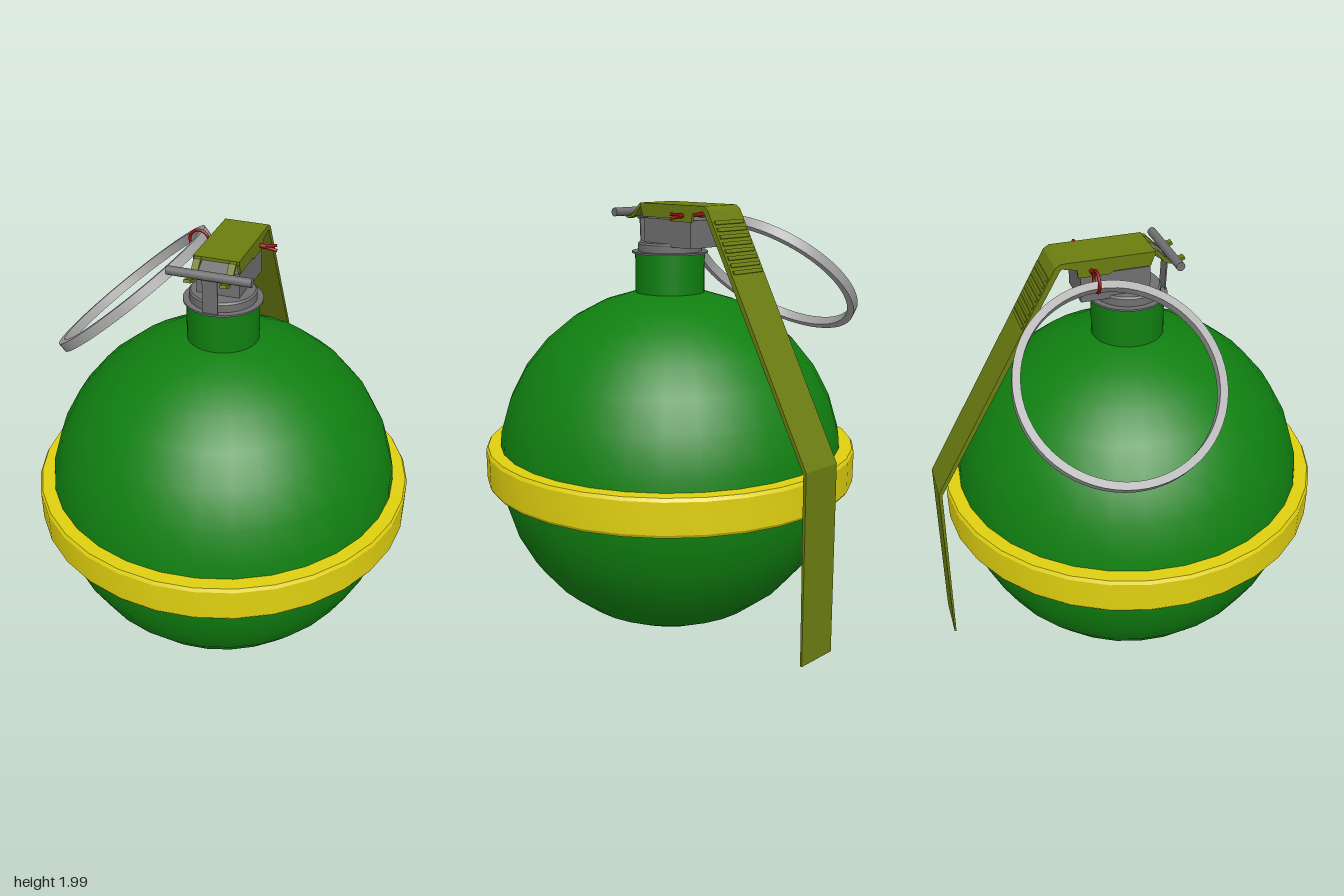
import * as THREE from 'three';
import { toCreasedNormals } from 'three/addons/utils/BufferGeometryUtils.js';

const mat = (name, color) => {
  const m = new THREE.MeshStandardMaterial({ color });
  m.name = name;
  return m;
};

export function createModel() {
  const green = mat('body green', 0x108010);
  const yellow = mat('band yellow', 0xe0d010);
  const olive = mat('lever olive', 0x6b7d10);
  const grey = mat('fuse grey', 0x707072);
  const steel = mat('ring steel', 0xa4a4a4);
  const red = mat('pin red', 0x901010);

  const CZ = 0.03; // body axis
  const group = new THREE.Group();

  const add = (name, geo, material, x = 0, y = 0, z = 0) => {
    const mesh = new THREE.Mesh(geo, material);
    mesh.name = name;
    mesh.position.set(x, y, z);
    group.add(mesh);
    return mesh;
  };
  const box = (name, m, w, h, d, x, y, z) => add(name, new THREE.BoxGeometry(w, h, d), m, x, y, z);
  const lathe = (pts, segs) => toCreasedNormals(
    new THREE.LatheGeometry(pts.map(p => new THREE.Vector2(...p)), segs), 0.5);
  // side profile given as [z, y] points, extruded across x
  const sideProfile = (name, pts, width, m, x = 0) => {
    const geo = new THREE.ExtrudeGeometry(new THREE.Shape(pts.map(p => new THREE.Vector2(...p))),
      { depth: width, bevelEnabled: false });
    geo.translate(0, 0, -width / 2).rotateY(-Math.PI / 2);
    return add(name, geo, m, x);
  };

  // Round body, waist band and neck
  add('body', new THREE.SphereGeometry(0.806, 32, 16), green, 0, 0.812, CZ);
  add('waistBand', lathe([[0.795, 0.735], [0.855, 0.735], [0.864, 0.75], [0.864, 0.89],
    [0.855, 0.905], [0.795, 0.905], [0.795, 0.735]], 32), yellow, 0, 0, CZ);
  add('neck', new THREE.CylinderGeometry(0.158, 0.158, 0.22, 32), green, 0, 1.67, CZ);

  // Fuse collar and housing
  add('collar', lathe([[0, 1.779], [0.172, 1.779], [0.172, 1.787], [0.145, 1.787],
    [0.145, 1.82], [0.138, 1.828], [0, 1.828]], 32), grey, 0, 0, CZ);
  box('fuseHousing', grey, 0.19, 0.12, 0.3, 0, 1.875, -0.05);

  // Striker plate, strip and hinge rod
  sideProfile('strikerPlate', [[0.115, 1.99], [0.11, 1.978], [0.18, 1.925], [0.188, 1.94]], 0.12, grey);
  sideProfile('strikerStrip', [[0.2, 1.95], [0.194, 1.95], [0.186, 1.78], [0.192, 1.78]], 0.066, grey);
  add('hingeRod', new THREE.CylinderGeometry(0.019, 0.019, 0.365, 16), grey, 0, 1.958, 0.2)
    .rotation.z = Math.PI / 2;

  // Safety lever: bent strip, side flanges and front hooks
  sideProfile('lever', [[0.12, 2], [-0.28, 2], [-0.305, 1.985], [-0.88, 0.965], [-0.894, 0.1],
    [-0.885, 0.1], [-0.865, 0.957], [-0.287, 1.967], [-0.27, 1.983], [0.12, 1.983]], 0.2, olive);
  for (const s of [1, -1]) {
    sideProfile('leverFlange', [[0.12, 1.995], [0.1, 1.94], [-0.06, 1.94], [-0.075, 1.928],
      [-0.21, 1.928], [-0.215, 1.965], [-0.27, 1.975], [-0.285, 1.995]], 0.012, olive, s * 0.094);
    sideProfile('leverHook', [[0.11, 2], [0.135, 1.995], [0.175, 1.952], [0.21, 1.942], [0.25, 1.955],
      [0.255, 1.943], [0.212, 1.926], [0.168, 1.938], [0.128, 1.983], [0.11, 1.983]], 0.03, olive, s * 0.076);
  }

  // Grip ribs on the sloping part of the lever
  for (let i = 0; i < 8; i++) {
    const z = -0.335 - i * 0.016;
    const y = 1.985 + (z + 0.305) * (1.02 / 0.575);
    box('gripRib', olive, 0.175, 0.01, 0.017, 0, y, z).rotation.x = -1.057;
  }

  // Safety pin with its eye and split ends
  const PZ = -0.155;
  add('safetyPin', new THREE.CylinderGeometry(0.01, 0.01, 0.26, 10), red, 0, 1.955, PZ)
    .rotation.z = Math.PI / 2;
  for (const s of [1, -1]) {
    const path = new THREE.CatmullRomCurve3([
      new THREE.Vector3(0.11, 1.955 + s * 0.004, PZ), new THREE.Vector3(0.145, 1.955 + s * 0.006, PZ),
      new THREE.Vector3(0.178, 1.955 + s * 0.012, PZ)]);
    add('pinSplitEnd', new THREE.TubeGeometry(path, 6, 0.007, 8), red);
  }
  add('pinEye', new THREE.TorusGeometry(0.044, 0.007, 8, 28), red, -0.175, 1.942, PZ);

  // Tilted pull ring hanging from the pin eye
  const h = 0.022;
  add('pullRing', lathe([[0.396, -h], [0.429, -h], [0.429, h], [0.396, h], [0.396, -h]], 64),
    steel, -0.5, 1.656, PZ).rotation.z = 0.703;

  return group;
}
